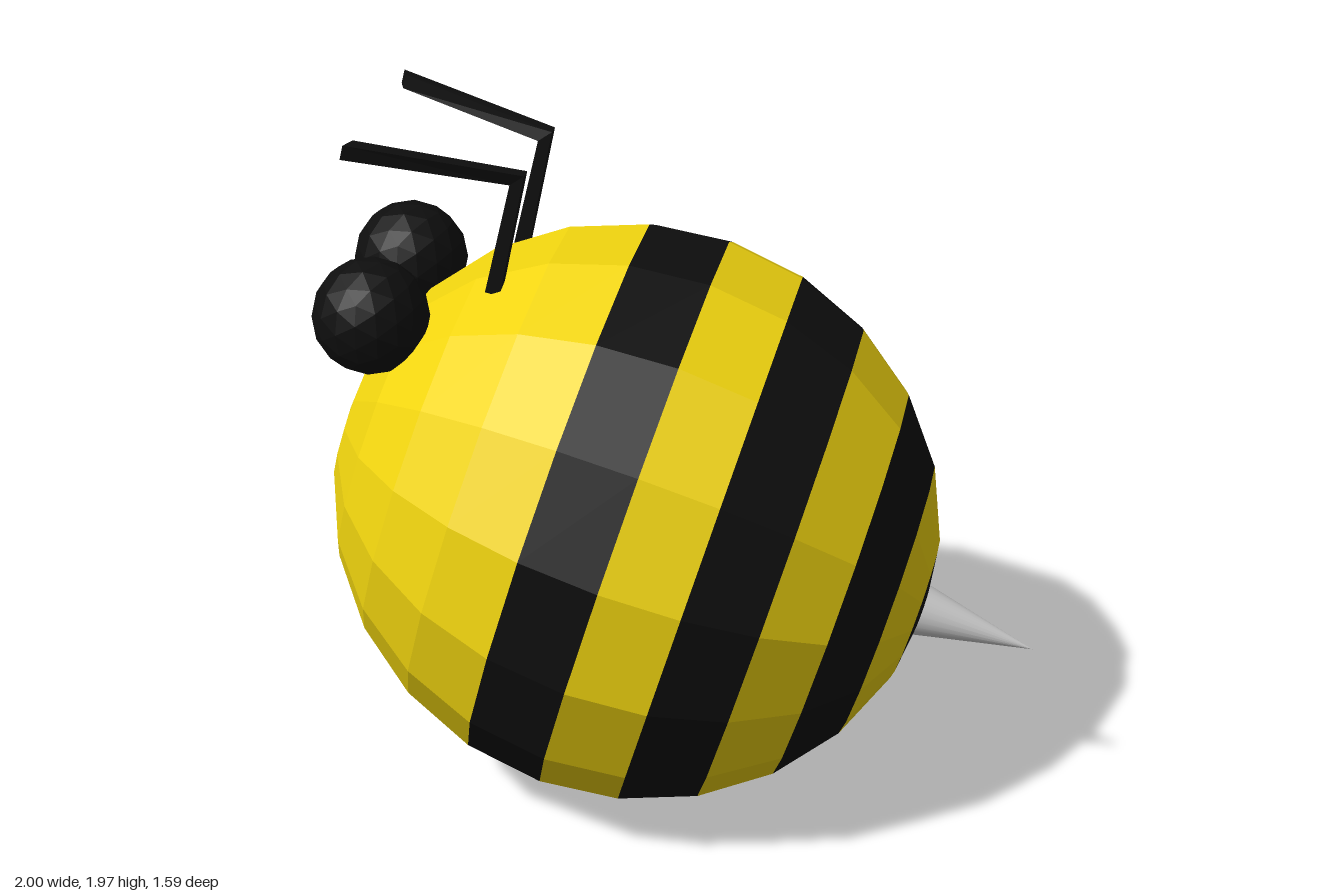
import * as THREE from 'three';

const STEP = Math.PI / 12; // ring height of the body
const SIDE = Math.PI / 8;  // one of 16 sides around it

export function createModel() {
  const root = new THREE.Group();
  const flat = (color) => new THREE.MeshStandardMaterial({ color, flatShading: true });
  const yellow = flat(0xf0d40f);
  const black = flat(0x0e0e0e);
  const grey = new THREE.MeshStandardMaterial({ color: 0xcccccc });

  const add = (parent, name, geometry, material) => {
    const mesh = new THREE.Mesh(geometry, material);
    mesh.name = name;
    parent.add(mesh);
    return mesh;
  };

  // Tilted frame: local y runs from face to tail, local x points down
  const trunk = new THREE.Group();
  trunk.name = 'trunk';
  trunk.position.set(-0.145, 0.805, 0);
  trunk.rotation.z = -THREE.MathUtils.degToRad(107);
  root.add(trunk);

  // Egg-shaped body made of bands of rings, counted from the face
  const body = new THREE.Group();
  body.name = 'body';
  body.scale.set(0.819, 0.865, 0.81);
  trunk.add(body);
  const band = (name, from, to, material, firstSide = 0, sides = 16) => {
    const points = [];
    for (let i = from; i <= to; i++) {
      const r = i % 12 === 0 ? 0 : Math.sin(i * STEP);
      points.push(new THREE.Vector2(r, -Math.cos(i * STEP)));
    }
    const geometry = new THREE.LatheGeometry(points, sides, (firstSide + 0.5) * SIDE, sides * SIDE);
    add(body, name, geometry, material);
  };
  band('faceCap', 0, 1, yellow);
  band('mouth', 1, 2, black, 1, 5);
  band('faceRing', 1, 2, yellow, 6, 11);
  band('head', 2, 5, yellow);
  for (let i = 5; i < 12; i++) {
    const dark = i % 2 === 1;
    band(dark ? 'blackStripe' : 'yellowStripe', i, i + 1, dark ? black : yellow);
  }

  // Sting on the tail pole
  const sting = add(trunk, 'sting', new THREE.ConeGeometry(0.08, 0.36, 24), grey);
  sting.position.y = 1.01;

  // Bent square antenna: three cross-sections, each a centre, half-width u and half-depth w
  const sections = [
    { c: [-0.5, 1.52, 0.175], u: [0.02, -0.005, 0], w: [0, 0, 0.02] },
    { c: [-0.424, 1.85, 0.175], u: [0.02, 0.014, 0], w: [0, 0, 0.02] },
    { c: [-0.856, 1.945, 0.295], u: [0.005, 0.02, 0], w: [-0.008, 0, 0.022] },
  ];
  const corners = [[1, 1], [1, -1], [-1, -1], [-1, 1]];
  const positions = [];
  const index = [0, 3, 2, 0, 2, 1, 8, 9, 10, 8, 10, 11];
  sections.forEach(({ c, u, w }, s) => {
    corners.forEach(([a, b], k) => {
      for (let i = 0; i < 3; i++) positions.push(c[i] + a * u[i] + b * w[i]);
      if (s < 2) {
        const p = s * 4 + k;
        const q = s * 4 + ((k + 1) % 4);
        index.push(p, q, q + 4, p, q + 4, p + 4);
      }
    });
  });
  const antenna = new THREE.BufferGeometry();
  antenna.setAttribute('position', new THREE.Float32BufferAttribute(positions, 3));
  antenna.setIndex(index);
  antenna.computeVertexNormals();

  // Eyes and antennae, mirrored across z
  const eye = new THREE.IcosahedronGeometry(0.161, 2);
  for (const side of [1, -1]) {
    add(root, 'eye', eye, black).position.set(-0.835, 1.443, side * 0.217);
    add(root, 'antenna', antenna, black).scale.z = side;
  }

  return root;
}
